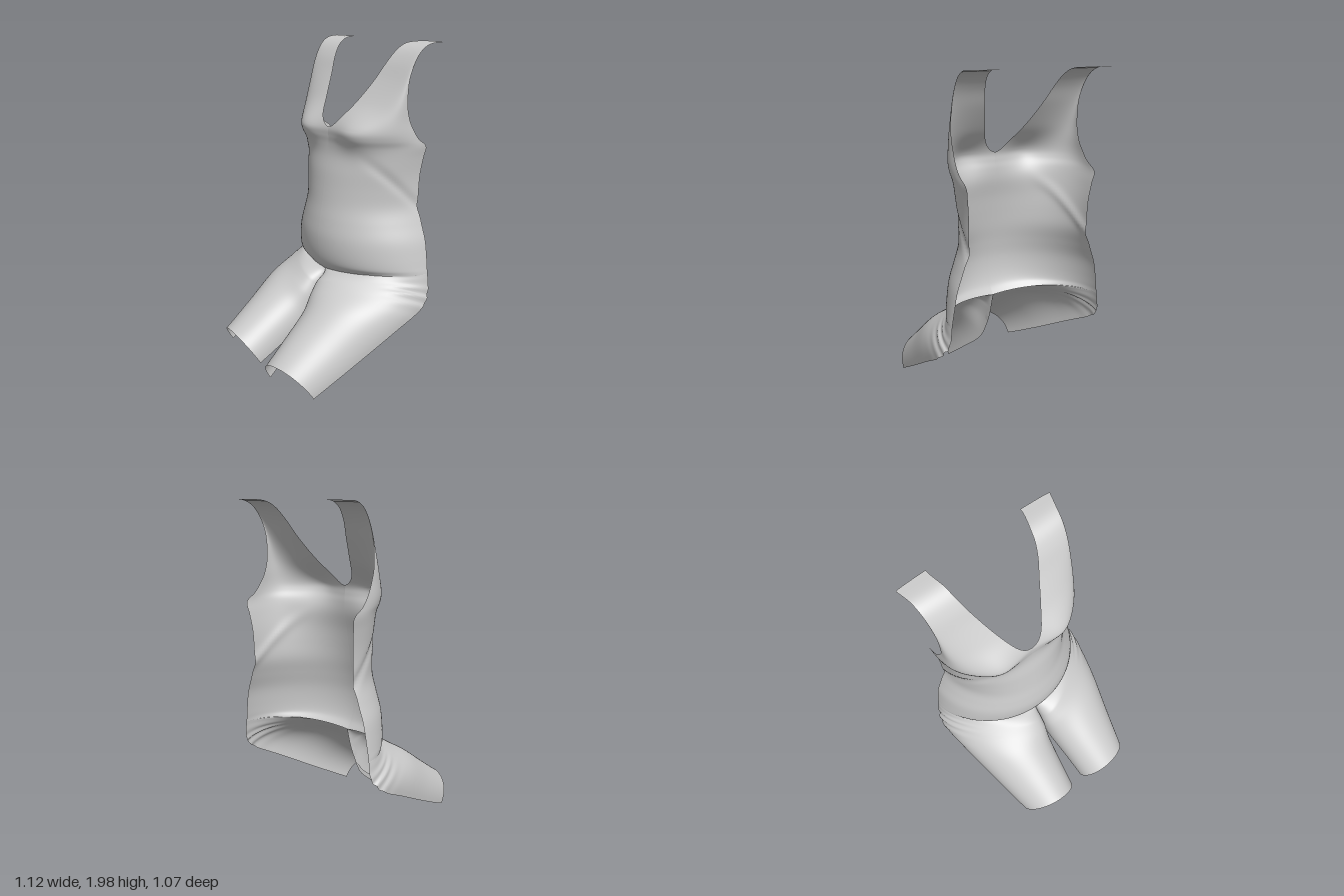
import * as THREE from 'three';

const material = new THREE.MeshStandardMaterial({ color: 0xcccccc, side: THREE.DoubleSide, roughness: 0.8 });
const { lerp, smoothstep, clamp } = THREE.MathUtils;

// Smoothly interpolate a table of rows at t in 0..1
function sample(rows, t) {
  const f = t * (rows.length - 1);
  const i = Math.min(Math.floor(f), rows.length - 2);
  const s = f - i;
  const at = (n) => rows[clamp(n, 0, rows.length - 1)];
  return rows[0].map((_, c) => {
    const a = at(i - 1)[c], b = at(i)[c], d = at(i + 1)[c], e = at(i + 2)[c];
    const m0 = (d - a) / 2, m1 = (e - b) / 2;
    return b + m0 * s + (3 * (d - b) - 2 * m0 - m1) * s * s + (2 * (b - d) + m0 + m1) * s * s * s;
  });
}

// Open sheet from a function of (u, v), mirrored by side
function sheet(name, nu, nv, side, fn) {
  const pos = [], idx = [];
  for (let j = 0; j <= nv; j++) {
    for (let i = 0; i <= nu; i++) {
      const [x, y, z] = fn(i / nu, j / nv);
      pos.push(x * side, y, z);
      if (i < nu && j < nv) {
        const a = j * (nu + 1) + i, b = a + 1, c = a + nu + 1, d = c + 1;
        if (side > 0) idx.push(a, b, d, a, d, c);
        else idx.push(a, d, b, a, c, d);
      }
    }
  }
  const g = new THREE.BufferGeometry();
  g.setAttribute('position', new THREE.Float32BufferAttribute(pos, 3));
  g.setIndex(idx);
  g.computeVertexNormals();
  const mesh = new THREE.Mesh(g, material);
  mesh.name = name;
  return mesh;
}

const bump = (d, w) => Math.exp(-(d * d) / (w * w));

// Torso rows: height, half width, front z, rear edge z
const torsoRows = [
  [0.59, 0.518, -0.03, -0.41],
  [0.64, 0.513, 0.005, -0.41],
  [0.72, 0.502, 0.025, -0.413],
  [0.82, 0.483, 0.03, -0.415],
  [0.92, 0.447, 0.018, -0.415],
  [1.02, 0.415, 0.0, -0.415],
  [1.12, 0.41, -0.015, -0.418],
  [1.22, 0.413, -0.03, -0.422],
  [1.32, 0.425, -0.05, -0.433],
  [1.39, 0.437, -0.055, -0.44],
  [1.44, 0.437, -0.052, -0.378],
  [1.49, 0.435, -0.054, -0.338],
  [1.56, 0.43, -0.085, -0.3],
  [1.65, 0.43, -0.15, -0.278],
  [1.78, 0.43, -0.24, -0.285],
  [1.88, 0.435, -0.3, -0.32],
  [1.95, 0.442, -0.36, -0.37],
  [1.984, 0.452, -0.43, -0.435],
  [1.99, 0.475, -0.535, -0.52],
];

function torsoPoint(u, v) {
  const [y, w, front, edge] = sample(torsoRows, v);
  // scooped neckline, drifting outwards over the shoulder
  const inner = 0.268 * Math.pow(Math.max(0, y - 1.49) / 0.5, 0.58) + 0.025 * smoothstep(-front, 0.38, 0.54);
  const start = Math.asin(inner / w);
  const a = start + (Math.PI / 2 - start) * u;
  // round belly, squarer chest
  const power = lerp(1.1, 0.7, smoothstep(y, 0.95, 1.4));
  let x = w * Math.sin(a);
  let z = edge + (front - edge) * Math.pow(Math.max(0, Math.cos(a)), power);
  // bust
  z += 0.046 * bump(x - 0.22, 0.13) * bump(y - 1.47, 0.095);
  // fold running from under the bust down around the side
  if (y < 1.45) {
    const d = y - (1.36 + (z + 0.05) * 0.94);
    const fold = 0.01 * bump(d, 0.035) * smoothstep(x, 0.2, 0.38);
    x -= fold;
    z -= fold * (1 - u);
  }
  // hem arching over the thighs
  const arch = 0.03 * bump(y - 0.59, 0.05) * Math.sin(u * Math.PI * 0.75);
  return [x, y + arch, z];
}

// Thigh stations from hip to knee: inner edge, crown, outer edge (x, y, z each)
const thighRows = [
  [0, 0.59, -0.03, 0.27, 0.62, -0.09, 0.518, 0.61, -0.41],
  [0, 0.49, -0.005, 0.27, 0.59, -0.03, 0.532, 0.51, -0.405],
  [0, 0.385, 0.035, 0.27, 0.54, 0.05, 0.557, 0.42, -0.325],
  [0.01, 0.26, 0.11, 0.27, 0.46, 0.18, 0.525, 0.305, -0.11],
  [0.033, 0.135, 0.28, 0.25, 0.33, 0.355, 0.472, 0.16, 0.16],
  [0.052, 0.02, 0.45, 0.235, 0.193, 0.535, 0.422, 0.03, 0.41],
];

function thighPoint(u, v, lift) {
  const r = sample(thighRows, v);
  const a = u * Math.PI, k = (1 - Math.cos(a)) / 2;
  const rise = Math.pow(Math.max(0, Math.sin(a)), lerp(0.8, 0.92, v));
  // the first row follows the torso hem so the parts join
  const hem = torsoPoint(u, 0);
  const join = v === 0 ? 0 : smoothstep(v, -0.08, 0.22);
  // gathered cloth wrinkles on the outer hip
  const wrinkle = 0.005 * Math.sin(v * 60 + u * 9) * bump(v - 0.3, 0.12) * smoothstep(u, 0.65, 0.9);
  const [x, y, z] = [0, 1, 2].map((c) => {
    const mid = (r[c] + r[c + 6]) / 2;
    return lerp(hem[c], lerp(r[c], r[c + 6], k) + (r[c + 3] - mid) * rise, join);
  });
  return [x + wrinkle, y + wrinkle + lift * v * v, z];
}

export function createModel() {
  const group = new THREE.Group();
  group.name = 'seatedBodyShell';
  for (const side of [1, -1]) {
    const label = side > 0 ? 'left' : 'right';
    group.add(sheet(label + 'TorsoAndStrap', 40, 108, side, torsoPoint));
    const lift = side > 0 ? -0.01 : 0.045;
    group.add(sheet(label + 'Thigh', 40, 60, side, (u, v) => thighPoint(u, v, lift)));
  }
  return group;
}
